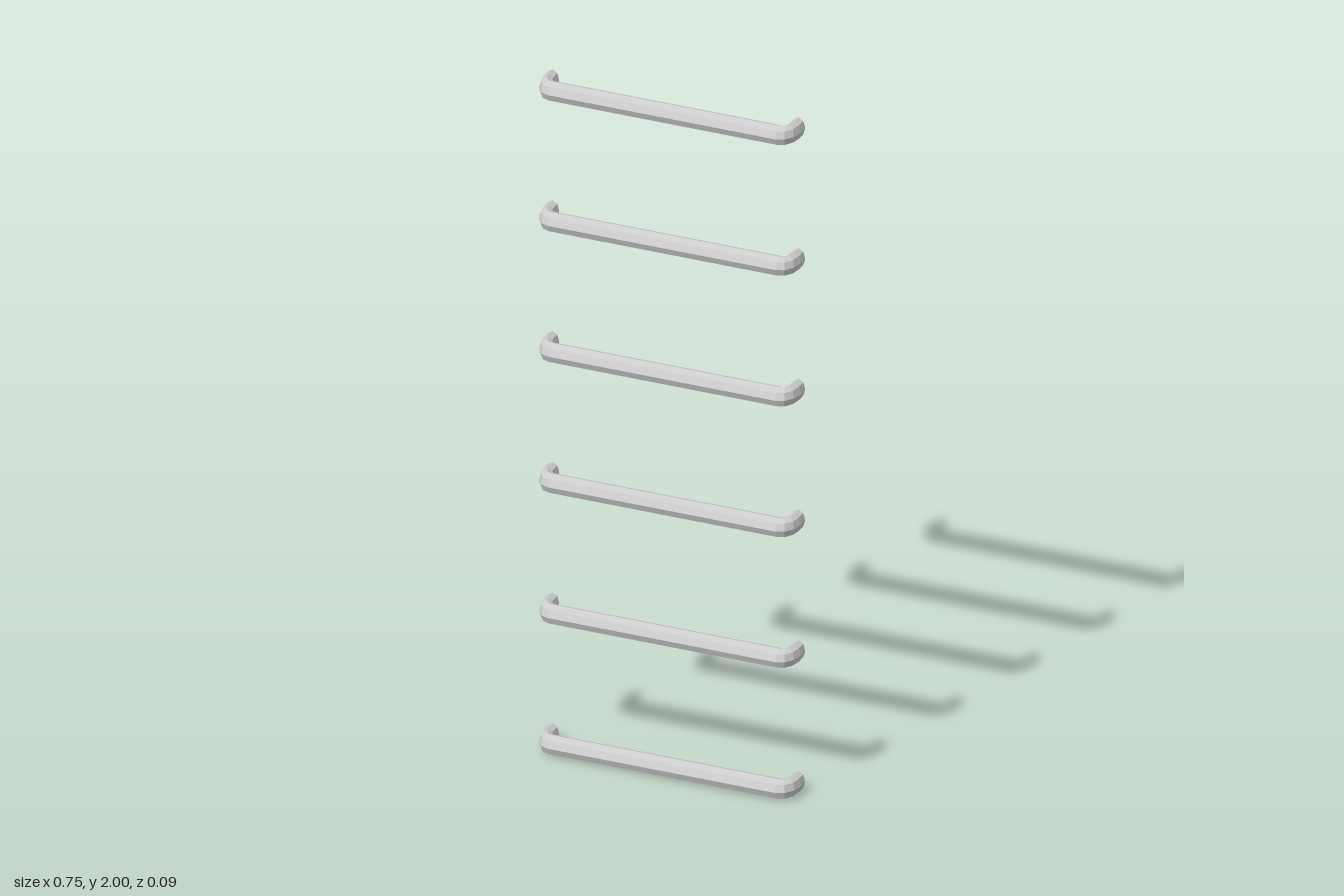
import * as THREE from 'three';

const SIDES = 8, R = 0.028;       // octagonal bar
const SQUASH = 0.7;               // bar and bends are narrower along x
const BEND = 0.038, STEPS = 3;    // bend radius and segments
const CX = 0.33, CZ = -0.019;     // bend centre
const BACK = -0.047;              // wall end of the legs

// Sections along the rung: wall end, bend, bend, wall end
function rungSections() {
  const half = [{ x: CX + BEND * SQUASH, z: BACK, a: 0 }];
  for (let i = 0; i <= STEPS; i++) {
    const a = (i / STEPS) * Math.PI / 2;
    half.push({ x: CX + BEND * SQUASH * Math.cos(a), z: CZ + BEND * Math.sin(a), a });
  }
  const mirrored = half.map(s => ({ x: -s.x, z: s.z, a: Math.PI - s.a })).reverse();
  return [...half, ...mirrored];
}

function rungGeometry() {
  const sections = rungSections(), pos = [], index = [];
  for (const { x, z, a } of sections) {
    for (let k = 0; k < SIDES; k++) {
      const t = (k / SIDES) * Math.PI * 2, out = R * Math.cos(t);
      pos.push(x + out * Math.cos(a) * SQUASH, R * Math.sin(t), z + out * Math.sin(a));
    }
  }
  // Side faces
  for (let i = 0; i < sections.length - 1; i++) {
    for (let k = 0; k < SIDES; k++) {
      const n = (k + 1) % SIDES;
      const a = i * SIDES + k, b = i * SIDES + n, c = a + SIDES, d = b + SIDES;
      index.push(a, b, c, b, d, c);
    }
  }
  // Flat ends
  const last = (sections.length - 1) * SIDES;
  for (let k = 1; k < SIDES - 1; k++) {
    index.push(0, k + 1, k, last, last + k, last + k + 1);
  }
  const g = new THREE.BufferGeometry();
  g.setAttribute('position', new THREE.Float32BufferAttribute(pos, 3));
  g.setIndex(index);
  const flat = g.toNonIndexed();
  flat.computeVertexNormals();
  return flat;
}

export function createModel() {
  const model = new THREE.Group();
  model.name = 'wallLadder';
  const material = new THREE.MeshStandardMaterial({ color: 0xcccccc, flatShading: true });
  const geometry = rungGeometry();
  // Six evenly spaced rungs
  const count = 6;
  for (let i = 0; i < count; i++) {
    const rung = new THREE.Mesh(geometry, material);
    rung.name = `rung${i + 1}`;
    rung.position.y = R + (i / (count - 1)) * (2 - 2 * R);
    model.add(rung);
  }
  return model;
}
